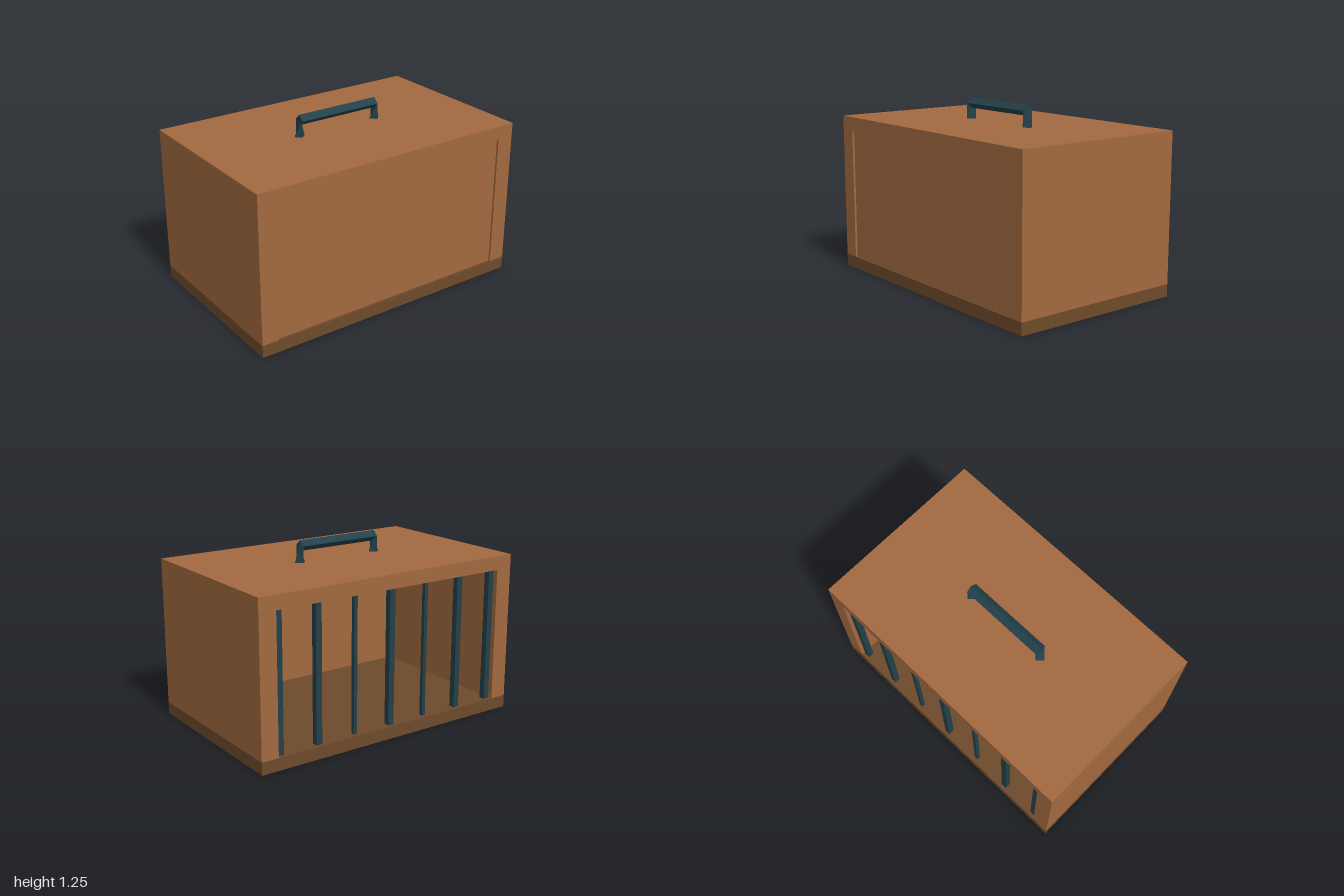
import * as THREE from 'three';

export function createModel() {
  const crate = new THREE.Group();
  crate.name = 'petCrate';

  const wood = new THREE.MeshStandardMaterial({ color: 0xa36a40 });
  wood.name = 'wood';
  const darkWood = new THREE.MeshStandardMaterial({ color: 0x6e4a2b });
  darkWood.name = 'dark wood';
  const metal = new THREE.MeshStandardMaterial({ color: 0x23414a });
  metal.name = 'dark metal';

  const add = (name, geometry, material, x = 0, y = 0, z = 0) => {
    const mesh = new THREE.Mesh(geometry, material);
    mesh.name = name;
    mesh.position.set(x, y, z);
    crate.add(mesh);
    return mesh;
  };

  const W = 1, H = 1.105, D = 0.625;          // half width, height, half depth
  const floorY = 0.085, openX = 0.88, openY = 1.01;

  // Floor slab
  add('base', new THREE.BoxGeometry(2 * W, floorY, 2 * D), darkWood, 0, floorY / 2, 0);

  // Side walls and roof as one arch-shaped extrusion
  const arch = new THREE.Shape([
    [-W, floorY], [-openX, floorY], [-openX, openY], [openX, openY],
    [openX, floorY], [W, floorY], [W, H], [-W, H],
  ].map(([x, y]) => new THREE.Vector2(x, y)));
  const shell = new THREE.ExtrudeGeometry(arch, { depth: 2 * D, bevelEnabled: false });
  add('shell', shell, wood, 0, 0, -D);

  // Slightly recessed front panel
  add('frontPanel', new THREE.BoxGeometry(2 * openX, openY - floorY, 0.083), wood,
    0, (openY + floorY) / 2, 0.5685);

  // Bars across the open back, the second pair out from the middle being thinner
  for (let i = -3; i <= 3; i++) {
    const s = Math.abs(i) === 1 ? 0.026 : 0.042;
    add('bar', new THREE.BoxGeometry(s, openY - 0.01, s), metal, i * 0.283, 0.515, -0.58);
  }

  // Loft between two four-cornered rings, with flat faces and closed ends
  const loft = (a, b) => {
    const pos = [];
    const quad = (p, q, r, s) => pos.push(...p, ...q, ...r, ...p, ...r, ...s);
    for (let i = 0; i < 4; i++) {
      const j = (i + 1) % 4;
      quad(a[i], a[j], b[j], b[i]);
    }
    quad(a[3], a[2], a[1], a[0]);
    quad(...b);
    const g = new THREE.BufferGeometry();
    g.setAttribute('position', new THREE.Float32BufferAttribute(pos, 3));
    g.computeVertexNormals();
    return g;
  };

  // Carry handle: diamond-section grip on two lofted legs
  const hx = 0.303, r = 0.04, gripY = 1.215, gripR = 0.036;
  const gripRing = (x) => [
    [x, gripY + gripR, 0], [x, gripY, r], [x, gripY - gripR, 0], [x, gripY, -r]];
  const footRing = (x) => [[x + r, H, 0], [x, H, r], [x - r, H, 0], [x, H, -r]];
  metal.side = THREE.DoubleSide;
  add('handleGrip', loft(gripRing(hx), gripRing(-hx)), metal);
  for (const side of [1, -1]) {
    add('handleLeg', loft(gripRing(side * hx), footRing(side * hx)), metal);
  }

  return crate;
}
